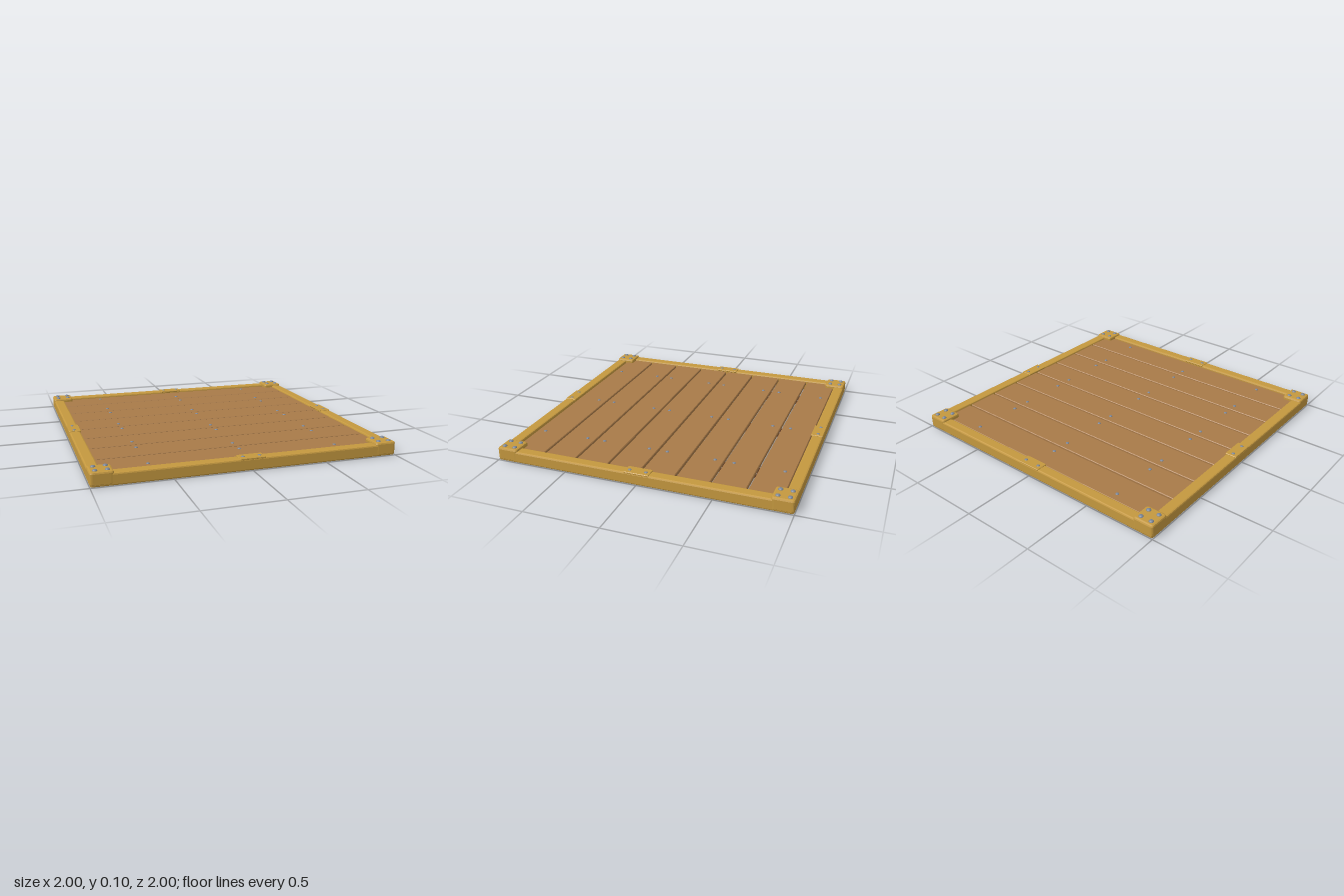
import * as THREE from 'three';

const paint = (name, color) => {
  const m = new THREE.MeshStandardMaterial({ color });
  m.name = name;
  return m;
};

// Rounded rectangle outline centred on the origin
function roundedRect(w, d, r, Type = THREE.Shape) {
  const x = w / 2, y = d / 2, s = new Type();
  s.moveTo(-x + r, -y);
  s.lineTo(x - r, -y);
  s.quadraticCurveTo(x, -y, x, -y + r);
  s.lineTo(x, y - r);
  s.quadraticCurveTo(x, y, x - r, y);
  s.lineTo(-x + r, y);
  s.quadraticCurveTo(-x, y, -x, y - r);
  s.lineTo(-x, -y + r);
  s.quadraticCurveTo(-x, -y, -x + r, -y);
  return s;
}

// Upright bevelled slab between heights y0 and y1
function slab(shape, y0, y1, bevel, segments = 2) {
  const g = new THREE.ExtrudeGeometry(shape, {
    depth: y1 - y0 - 2 * bevel, bevelThickness: bevel, bevelSize: bevel,
    bevelOffset: -bevel, bevelSegments: segments, curveSegments: 4,
  });
  return g.rotateX(-Math.PI / 2).translate(0, y0 + bevel, 0);
}

export function createModel() {
  const model = new THREE.Group();
  model.name = 'plankPanel';

  const trim = paint('golden trim', 0xc4983f);
  const wood = paint('brown plank', 0xa87a48);
  const darkWood = paint('dark batten', 0x55301f);
  const steel = paint('grey steel', 0x7a8596);

  const add = (name, geometry, material, x = 0, y = 0, z = 0) => {
    const mesh = new THREE.Mesh(geometry, material);
    mesh.name = name;
    mesh.position.set(x, y, z);
    model.add(mesh);
    return mesh;
  };

  // Domed rivet heads
  const dome = (r, h) => new THREE.SphereGeometry(r, 12, 5, 0, Math.PI * 2, 0, Math.PI / 2).scale(1, h / r, 1);
  const nailHead = dome(0.012, 0.006);
  const boltHead = dome(0.016, 0.011);

  // Outer frame
  const outline = roundedRect(1.998, 1.998, 0.02);
  outline.holes.push(roundedRect(1.846, 1.846, 0.004, THREE.Path));
  add('frame', slab(outline, 0, 0.078, 0.01), trim);

  // Planks with one nail per batten, staggered from plank to plank
  const pitch = 0.2308, battenX = [-0.627, 0, 0.627];
  const plankTop = 0.066;
  const plank = slab(roundedRect(1.86, pitch - 0.013, 0.003), 0.038, plankTop, 0.004, 1);
  for (let i = 0; i < 8; i++) {
    const z = (i - 3.5) * pitch;
    add('plank', plank, wood, 0, 0, z);
    const stagger = i % 2 ? 0.051 : -0.051;
    for (const x of battenX) {
      add('plankNail', nailHead, steel, x, plankTop, z + (x === 0 ? -stagger : stagger));
    }
  }

  // Battens under the planks
  const batten = slab(roundedRect(0.08, 1.87, 0.003), 0.004, 0.04, 0.005, 1);
  for (const x of battenX) add('batten', batten, darkWood, x);

  // Corner blocks with four bolts each
  const block = slab(roundedRect(0.145, 0.145, 0.02), 0.004, 0.092, 0.012);
  for (const sx of [-1, 1]) for (const sz of [-1, 1]) {
    add('cornerBlock', block, trim, sx * 0.9275, 0, sz * 0.9275);
    for (const a of [0.89, 0.964]) for (const b of [0.89, 0.964]) {
      add('cornerBolt', boltHead, steel, sx * a, 0.091, sz * b);
    }
  }

  // Thin plates at the middle of each side with two nails
  const plate = slab(roundedRect(0.168, 0.082, 0.006), 0.07, 0.083, 0.003, 1);
  for (let i = 0; i < 4; i++) {
    const side = new THREE.Group();
    side.name = 'sidePlate';
    side.rotation.y = i * Math.PI / 2;
    const base = new THREE.Mesh(plate, trim);
    base.name = 'plate';
    base.position.z = 0.958;
    side.add(base);
    for (const x of [-0.055, 0.055]) {
      const nail = new THREE.Mesh(nailHead, steel);
      nail.name = 'plateNail';
      nail.position.set(x, 0.082, 0.962);
      side.add(nail);
    }
    model.add(side);
  }

  return model;
}
